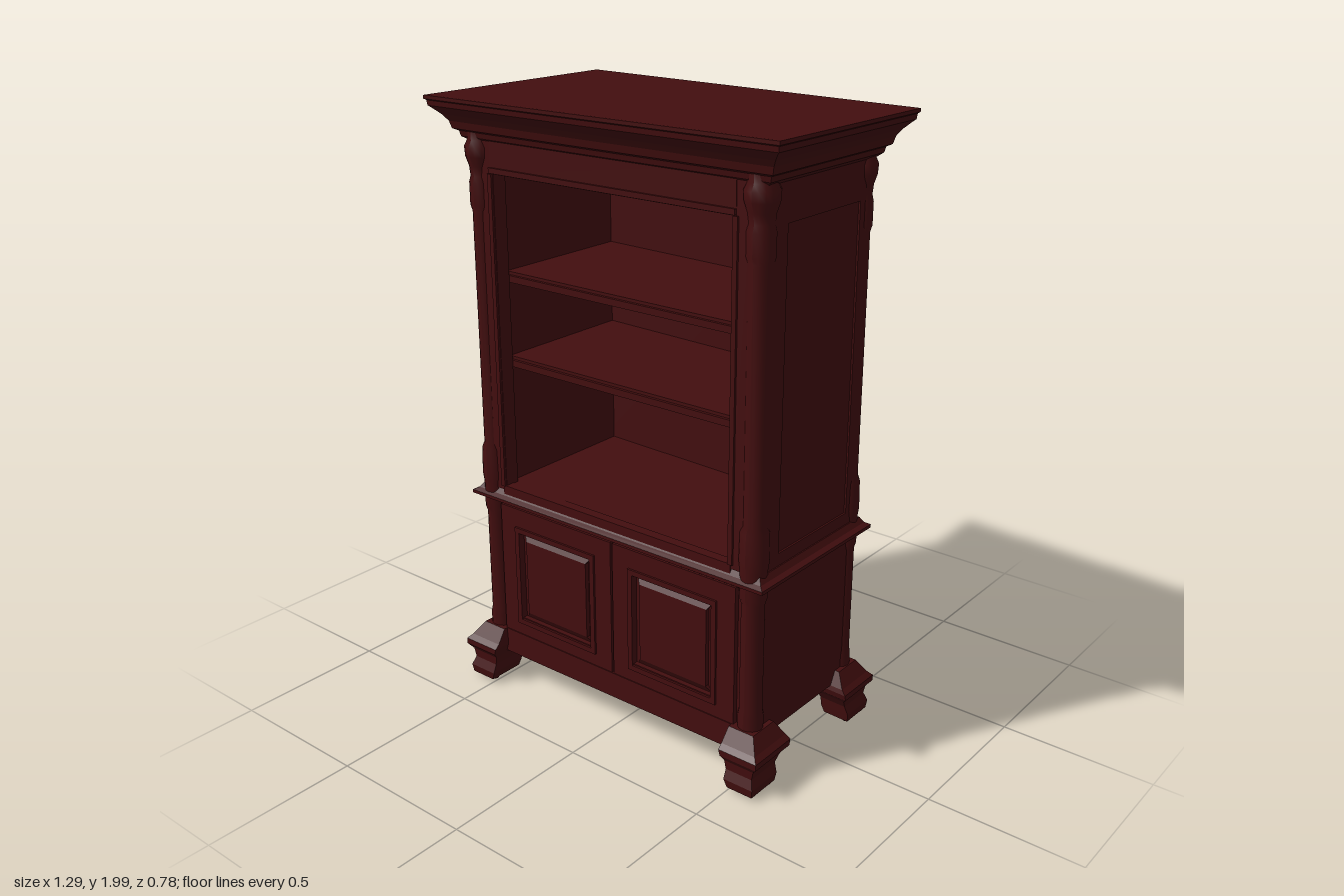
import * as THREE from 'three';

const wood = new THREE.MeshStandardMaterial({ color: 0x430e0f });
wood.name = 'dark mahogany';

// The cabinet is slightly deeper at its right-hand end (-x); every part follows this taper.
function taper(geometry) {
  const p = geometry.attributes.position;
  for (let i = 0; i < p.count; i++) {
    const z = p.getZ(i);
    p.setZ(i, z * (1 - (z > 0 ? 0.042 : 0.14) * p.getX(i)));
  }
  geometry.computeVertexNormals();
  return geometry;
}

function add(group, name, geometry) {
  const mesh = new THREE.Mesh(taper(geometry), wood);
  mesh.name = name;
  group.add(mesh);
}

// Box given by its limits
function box(group, name, x0, x1, y0, y1, z0, z1) {
  const g = new THREE.BoxGeometry(x1 - x0, y1 - y0, z1 - z0);
  g.translate((x0 + x1) / 2, (y0 + y1) / 2, (z0 + z1) / 2);
  add(group, name, g);
}

// Solid through stacked rectangles [y, x0, x1, z0, z1], from bottom to top
function loft(group, name, rings) {
  const v = [], idx = [];
  for (const [y, x0, x1, z0, z1] of rings) v.push(x0, y, z1, x1, y, z1, x1, y, z0, x0, y, z0);
  for (let r = 0; r < rings.length - 1; r++) {
    for (let k = 0; k < 4; k++) {
      const a = r * 4 + k, b = r * 4 + (k + 1) % 4;
      idx.push(a, b, b + 4, a, b + 4, a + 4);
    }
  }
  const t = (rings.length - 1) * 4;
  idx.push(0, 2, 1, 0, 3, 2, t, t + 1, t + 2, t, t + 2, t + 3);
  const g = new THREE.BufferGeometry();
  g.setAttribute('position', new THREE.Float32BufferAttribute(v, 3));
  g.setIndex(idx);
  add(group, name, g.toNonIndexed());
}

// Moulding running round the whole case: [y, overhang] pairs
function moulding(group, name, profile) {
  loft(group, name, profile.map(([y, o]) => [y, -0.56 - o, 0.56 + o, -0.27 - o, 0.295 + o]));
}

// Mitred-looking rectangular frame facing +z
function frame(group, name, x0, x1, y0, y1, w, z0, z1) {
  box(group, name, x0, x1, y1 - w, y1, z0, z1);
  box(group, name, x0, x1, y0, y0 + w, z0, z1);
  box(group, name, x0, x0 + w, y0 + w, y1 - w, z0, z1);
  box(group, name, x1 - w, x1, y0 + w, y1 - w, z0, z1);
}

export function createModel() {
  const model = new THREE.Group();
  model.name = 'bookcase';
  const part = (name) => {
    const g = new THREE.Group();
    g.name = name;
    model.add(g);
    return g;
  };

  // Lower cupboard and its front rail
  const base = part('cupboard');
  box(base, 'cupboardBody', -0.55, 0.55, 0.155, 0.68, -0.26, 0.285);
  box(base, 'bottomRail', -0.49, 0.49, 0.112, 0.2, 0.25, 0.305);
  box(base, 'backBottomRail', -0.5, 0.5, 0.15, 0.22, -0.268, -0.24);

  // Panelled doors
  for (const s of [-1, 1]) {
    const cx = s * 0.242;
    const door = part('door');
    frame(door, 'doorFrame', cx - 0.238, cx + 0.238, 0.2, 0.665, 0.066, 0.28, 0.302);
    frame(door, 'doorMoulding', cx - 0.172, cx + 0.172, 0.244, 0.6, 0.018, 0.28, 0.309);
    loft(door, 'raisedPanel', [[0.27, cx - 0.145, cx + 0.145, 0.27, 0.288],
      [0.29, cx - 0.13, cx + 0.13, 0.27, 0.3], [0.555, cx - 0.13, cx + 0.13, 0.27, 0.3],
      [0.575, cx - 0.145, cx + 0.145, 0.27, 0.288]]);
  }

  // Waist moulding
  moulding(part('waist'), 'waistMoulding',
    [[0.665, 0], [0.678, 0.012], [0.683, 0.028], [0.694, 0.028], [0.702, 0.012], [0.72, 0]]);

  // Open upper case
  const upper = part('upperCase');
  box(upper, 'upperFloor', -0.55, 0.55, 0.69, 0.735, -0.25, 0.285);
  box(upper, 'upperCeiling', -0.55, 0.55, 1.765, 1.88, -0.25, 0.285);
  box(upper, 'backBoard', -0.55, 0.55, 0.69, 1.88, -0.26, -0.235);
  for (const s of [-1, 1]) {
    const span = (a, b) => (s > 0 ? [a, b] : [-b, -a]);
    box(upper, 'sideWall', ...span(0.47, 0.55), 0.7, 1.88, -0.255, 0.285);
    box(upper, 'frontStile', ...span(0.45, 0.51), 0.72, 1.88, 0.25, 0.3);
    box(upper, 'stileBead', ...span(0.452, 0.468), 0.735, 1.765, 0.29, 0.307);
    // Framed side panel
    const [x0, x1] = span(0.545, 0.556);
    box(upper, 'sideRail', x0, x1, 1.74, 1.87, -0.25, 0.27);
    box(upper, 'sideRail', x0, x1, 0.7, 0.76, -0.25, 0.27);
    box(upper, 'sideStile', x0, x1, 0.76, 1.74, 0.195, 0.27);
    box(upper, 'sideStile', x0, x1, 0.76, 1.74, -0.24, -0.185);
  }
  box(upper, 'frieze', -0.46, 0.46, 1.765, 1.9, 0.27, 0.302);
  box(upper, 'friezeBead', -0.46, 0.46, 1.768, 1.785, 0.28, 0.31);
  box(upper, 'lowerRail', -0.46, 0.46, 0.7, 0.737, 0.27, 0.304);

  // Shelves
  for (const y of [1.15, 1.43]) {
    box(upper, 'shelf', -0.472, 0.472, y - 0.012, y + 0.018, -0.24, 0.24);
    box(upper, 'shelfLip', -0.472, 0.472, y - 0.014, y + 0.008, 0.235, 0.25);
  }

  // Battens over the back boards
  for (const x of [-0.28, 0, 0.28]) {
    box(upper, 'backBatten', x - 0.03, x + 0.03, 0.72, 1.86, -0.264, -0.25);
    box(base, 'lowerBackBatten', x - 0.03, x + 0.03, 0.2, 0.67, -0.264, -0.25);
  }

  // Turned corner columns with bases and capitals
  const turned = [[0.16, 0.04], [0.24, 0.04], [0.26, 0.036], [0.62, 0.036], [0.64, 0.042], [0.73, 0.042],
    [0.76, 0.046], [0.85, 0.044], [0.87, 0.036], [1.64, 0.036], [1.66, 0.042], [1.73, 0.042], [1.75, 0.037],
    [1.78, 0.04], [1.81, 0.05], [1.84, 0.052], [1.86, 0.042], [1.9, 0.042]];
  const columns = part('columns');
  for (const x of [-0.523, 0.523]) {
    for (const z of [0.272, -0.237]) {
      const g = new THREE.LatheGeometry(turned.map(([y, r]) => new THREE.Vector2(r, y)), 16);
      g.translate(x, 0, z);
      add(columns, 'cornerColumn', g);
    }
  }

  // Flared cornice with a flat top
  moulding(part('cornice'), 'corniceMoulding',
    [[1.855, -0.005], [1.868, 0.012], [1.885, 0.016], [1.892, 0.03], [1.915, 0.036], [1.935, 0.05],
      [1.955, 0.07], [1.962, 0.078], [1.978, 0.08], [1.982, 0.086], [1.993, 0.086], [1.994, 0.08]]);

  // Bracket feet: [y, outer x, inner x, outer z, inner z], z measured for the front pair
  const foot = [[0.012, 0.592, 0.5, 0.358, 0.235], [0.04, 0.596, 0.49, 0.362, 0.23], [0.07, 0.585, 0.49, 0.35, 0.225],
    [0.1, 0.592, 0.485, 0.352, 0.205], [0.12, 0.61, 0.478, 0.366, 0.185], [0.14, 0.61, 0.472, 0.366, 0.18],
    [0.155, 0.595, 0.472, 0.35, 0.185], [0.2, 0.566, 0.475, 0.318, 0.21]];
  const feet = part('feet');
  for (const sx of [-1, 1]) {
    for (const sz of [-1, 1]) {
      const d = sz > 0 ? 0 : 0.034;
      loft(feet, sz > 0 ? 'frontFoot' : 'backFoot', foot.map(([y, xo, xi, zo, zi]) => [y,
        Math.min(sx * xo, sx * xi), Math.max(sx * xo, sx * xi),
        Math.min(sz * (zo - d), sz * (zi - d)), Math.max(sz * (zo - d), sz * (zi - d))]));
      // Small toes under each foot
      for (const [tx, tz] of [[0.575, 0.335], [0.515, 0.335], [0.575, 0.255]]) {
        const toe = new THREE.SphereGeometry(0.018, 10, 8);
        toe.translate(sx * tx, 0.018, sz * (tz - d));
        add(feet, 'toe', toe);
      }
    }
  }
  return model;
}
